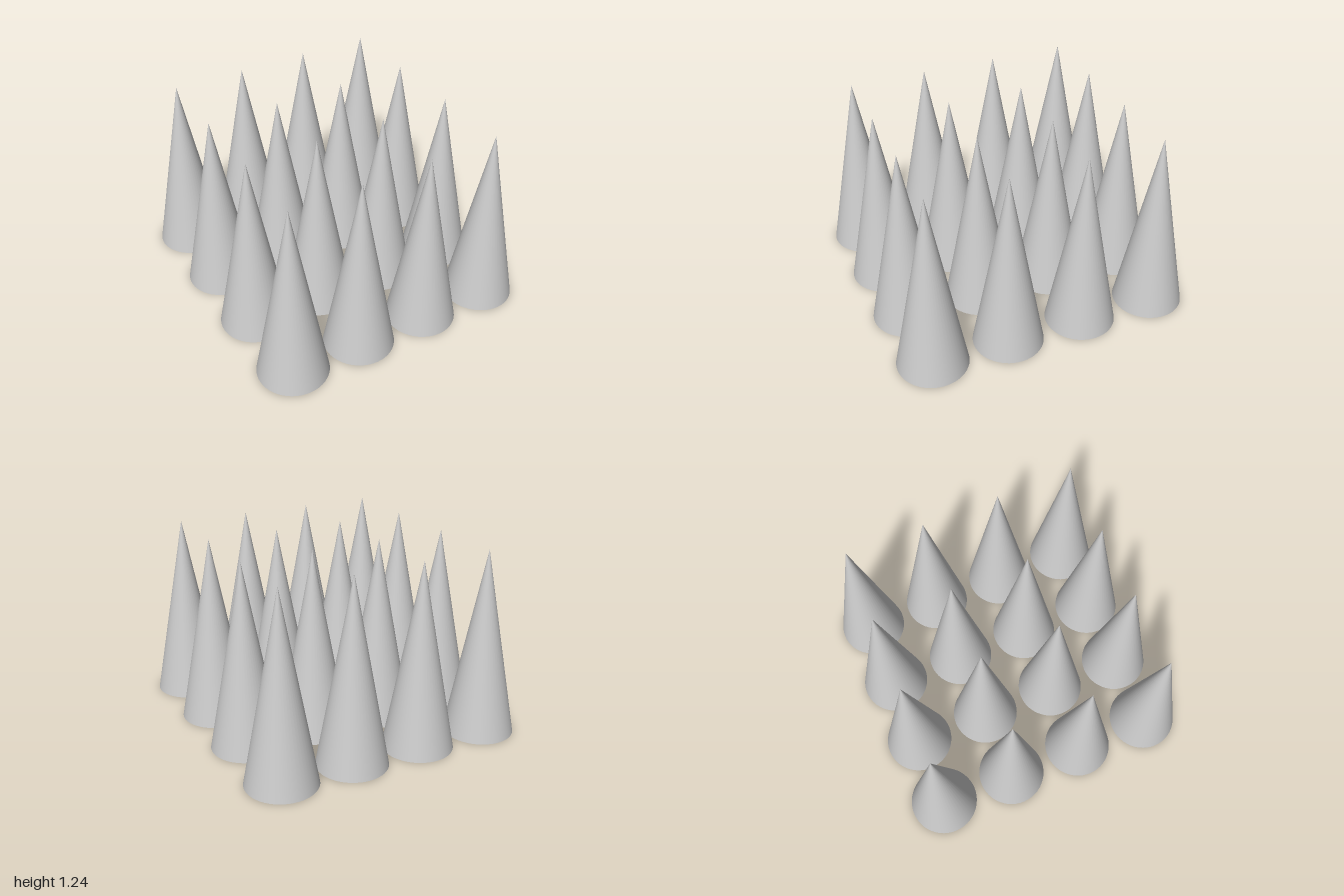
import * as THREE from 'three';

// A 4 x 4 field of identical slender cones
export function createModel() {
  const radius = 0.229, height = 1.235, count = 4;
  const spacingX = 0.48, spacingZ = 0.514;

  const group = new THREE.Group();
  group.name = 'coneField';
  const material = new THREE.MeshStandardMaterial({ color: 0xcccccc });

  // One closed cone standing on the ground, shared by all
  const geometry = new THREE.ConeGeometry(radius, height, 48);
  geometry.translate(0, height / 2, 0);

  const middle = (count - 1) / 2;
  for (let row = 0; row < count; row++) {
    for (let column = 0; column < count; column++) {
      const cone = new THREE.Mesh(geometry, material);
      cone.name = `coneRow${row + 1}Column${column + 1}`;
      cone.position.set((column - middle) * spacingX, 0, (row - middle) * spacingZ);
      group.add(cone);
    }
  }
  return group;
}
